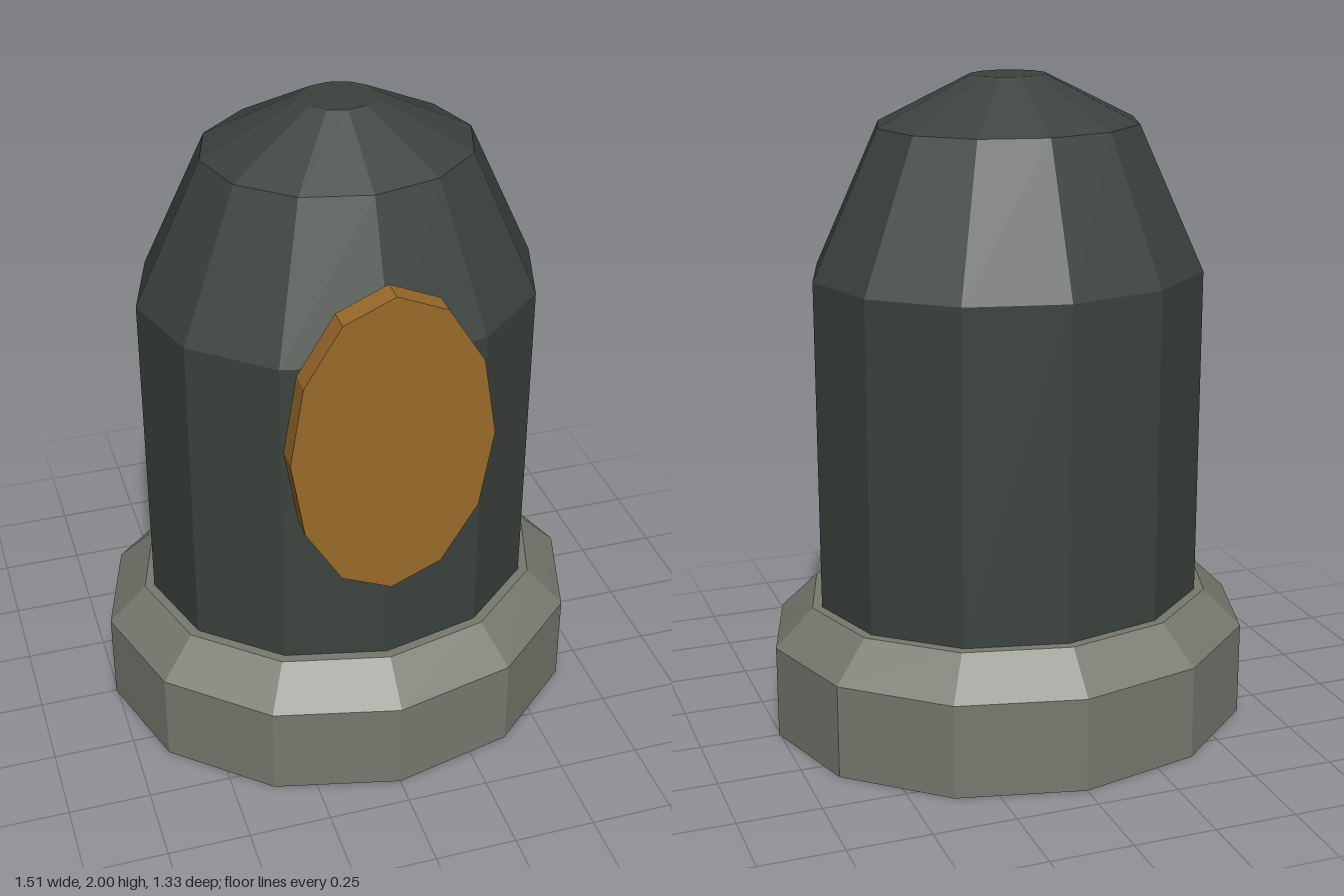
import * as THREE from 'three';

const SIDES = 12;

function material(color) {
  return new THREE.MeshStandardMaterial({ color, flatShading: true });
}

// Faceted oval solid: rings of [y, x radius, z radius], capped at both ends
function ovalSolid(name, rings, mat) {
  const positions = [];
  const point = ([y, rx, rz], i) => {
    const a = ((i % SIDES) / SIDES) * Math.PI * 2;
    return [rx * Math.sin(a), y, rz * Math.cos(a)];
  };
  const first = rings[0], last = rings[rings.length - 1];
  for (let i = 0; i < SIDES; i++) {
    for (let k = 0; k < rings.length - 1; k++) {
      const a = point(rings[k], i), b = point(rings[k], i + 1);
      const c = point(rings[k + 1], i + 1), d = point(rings[k + 1], i);
      positions.push(...a, ...b, ...c, ...a, ...c, ...d);
    }
    positions.push(0, first[0], 0, ...point(first, i + 1), ...point(first, i));
    positions.push(0, last[0], 0, ...point(last, i), ...point(last, i + 1));
  }
  const geometry = new THREE.BufferGeometry();
  geometry.setAttribute('position', new THREE.Float32BufferAttribute(positions, 3));
  geometry.computeVertexNormals();
  const mesh = new THREE.Mesh(geometry, mat);
  mesh.name = name;
  return mesh;
}

export function createModel() {
  const group = new THREE.Group();
  group.name = 'domedPost';
  const dark = material(0x3b423e);
  const stone = material(0x77796f);
  const gold = material(0x9a6a2a);

  // Plinth with a bevelled top edge
  group.add(ovalSolid('base', [
    [0, 0.755, 0.665], [0.29, 0.755, 0.665], [0.405, 0.637, 0.55],
  ], stone));

  // Straight body with tapering shoulders
  group.add(ovalSolid('body', [
    [0.4, 0.607, 0.52], [1.42, 0.607, 0.52], [1.857, 0.403, 0.346],
  ], dark));

  // Shallow cap with a small flat top
  group.add(ovalSolid('cap', [
    [1.857, 0.403, 0.346], [2, 0.115, 0.1],
  ], dark));

  // Oval plaque on the front
  const plaqueGeometry = new THREE.CylinderGeometry(1, 1, 0.072, SIDES);
  plaqueGeometry.scale(0.302, 1, 0.49);
  plaqueGeometry.rotateX(Math.PI / 2);
  const plaque = new THREE.Mesh(plaqueGeometry, gold);
  plaque.name = 'plaque';
  plaque.position.set(0, 1.162, 0.51);
  group.add(plaque);

  return group;
}
